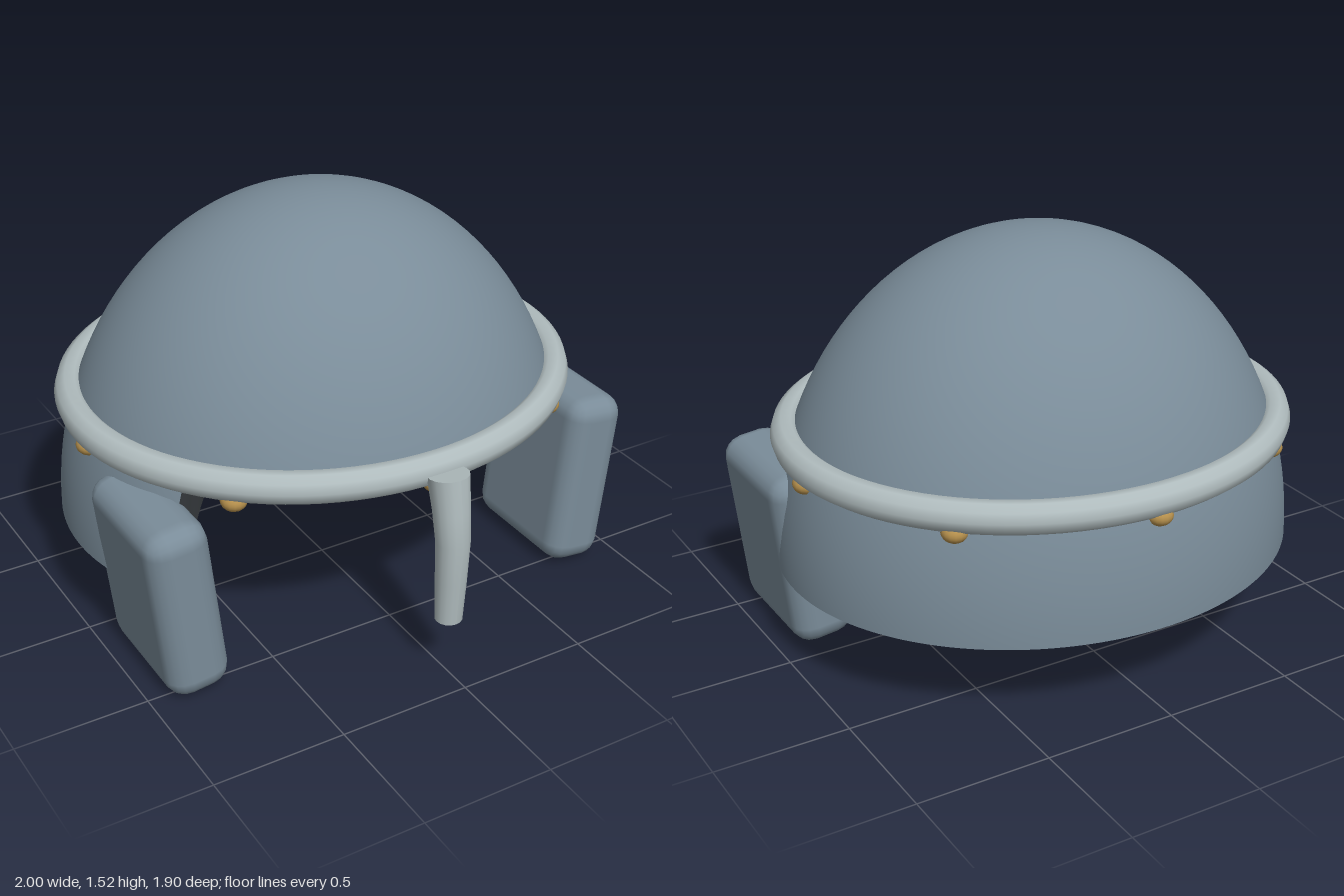
import * as THREE from 'three';
import { RoundedBoxGeometry } from 'three/addons/geometries/RoundedBoxGeometry.js';

const CZ = -0.06, BASE = 0.33; // centre and lower edge of the bowl
const COLS = 240, ROWS = 32;   // grid of the bowl
const OUTER = { k: 1, from: 0.99, to: 1.05 };     // size, and angles where the face opening ends
const INNER = { k: 0.945, from: 0.88, to: 1.05 };
const mat = (color, side = THREE.FrontSide) => new THREE.MeshStandardMaterial({ color, side });
const steel = mat(0x7a8c99);
const lining = mat(0x33373a, THREE.DoubleSide);
const pale = mat(0xb0bcbe);
const brass = mat(0xb8924e);

// Point on a bowl: a = angle from the front, v = 0 at the crown, 1 at the lower edge.
// The edge is high over the face and low around the back.
function bowlPoint(a, v, { k, from, to }) {
  const edge = 0.82 - (0.82 - BASE) * THREE.MathUtils.smoothstep(Math.abs(a), from, to);
  const t = Math.min(v * Math.PI / 2, Math.acos((edge - BASE) / (1.19 * k)));
  return new THREE.Vector3(
    0.99 * k * Math.sin(t) * Math.sin(a),
    BASE + 1.19 * k * Math.cos(t),
    CZ + 0.89 * k * Math.sin(t) * Math.cos(a));
}

const columnAngle = (col) => (col / COLS) * Math.PI * 2 - Math.PI;

// Half-sphere grid stretched into a bowl, its front rows stopped at the face opening
function bowl(layer) {
  const geo = new THREE.SphereGeometry(1, COLS, ROWS, 0, Math.PI * 2, 0, Math.PI / 2);
  const pos = geo.attributes.position, nor = geo.attributes.normal;
  for (let i = 0; i < pos.count; i++) {
    const col = i % (COLS + 1), row = Math.floor(i / (COLS + 1));
    const p = bowlPoint(columnAngle(col), row / ROWS, layer);
    pos.setXYZ(i, p.x, p.y, p.z);
    const n = new THREE.Vector3(p.x / 0.98, (p.y - BASE) / 1.416, (p.z - CZ) / 0.792).normalize();
    nor.setXYZ(i, n.x, n.y, n.z);
  }
  return geo;
}

// Strip closing the gap between bowl and lining along the edge
function rimStrip() {
  const verts = [], idx = [];
  for (let i = 0; i <= COLS; i++) {
    const a = columnAngle(i);
    verts.push(...bowlPoint(a, 1, OUTER).toArray(), ...bowlPoint(a, 1, INNER).toArray());
    if (i < COLS) idx.push(2 * i, 2 * i + 1, 2 * i + 2, 2 * i + 1, 2 * i + 3, 2 * i + 2);
  }
  const geo = new THREE.BufferGeometry();
  geo.setAttribute('position', new THREE.Float32BufferAttribute(verts, 3));
  geo.setIndex(idx);
  geo.computeVertexNormals();
  return geo;
}

// Tapered bar: a cylinder whose rings follow [y, z, radius] stations
function noseBar() {
  const stations = [[0.805, 0.845, 0.075], [0.68, 0.872, 0.068], [0.56, 0.888, 0.062], [0.4, 0.885, 0.057], [0.23, 0.88, 0.05]];
  const last = stations.length - 1;
  const geo = new THREE.CylinderGeometry(1, 1, last, 16, last);
  const pos = geo.attributes.position;
  for (let i = 0; i < pos.count; i++) {
    const s = Math.round(last / 2 - pos.getY(i));
    const [y, z, r] = stations[s];
    const x = pos.getX(i), d = pos.getZ(i);
    pos.setXYZ(i, x * r, y + (s === 0 ? d * r * 0.15 : 0), z + d * r);
  }
  geo.computeVertexNormals();
  return geo;
}

export function createModel() {
  const model = new THREE.Group();
  model.name = 'helmet';
  const add = (name, geo, material) => {
    const mesh = new THREE.Mesh(geo, material);
    mesh.name = name;
    model.add(mesh);
    return mesh;
  };

  // Bowl with neck guard, dark lining and edge
  add('bowl', bowl(OUTER), steel);
  add('lining', bowl(INNER), lining);
  add('bowlEdge', rimStrip(), lining);

  // Brow band
  const bandGeo = new THREE.TorusGeometry(0.925, 0.06, 10, 96);
  bandGeo.rotateX(Math.PI / 2);
  const band = add('browBand', bandGeo, pale);
  band.scale.z = 0.905;
  band.position.set(0, 0.8, CZ);

  // Nose guard
  add('noseGuard', noseBar(), pale);

  // Cheek plates, leaning outward at the top
  for (const s of [1, -1]) {
    const plate = add(s > 0 ? 'leftCheekPlate' : 'rightCheekPlate',
      new RoundedBoxGeometry(0.24, 0.7, 0.54, 2, 0.08), steel);
    plate.position.set(0.848 * s, 0.352, 0.317);
    plate.rotation.z = -0.113 * s;
  }

  // Rivets under the brow band
  const rivetGeo = new THREE.SphereGeometry(0.048, 16, 12);
  for (let i = 0; i < 8; i++) {
    const a = (i * Math.PI) / 4;
    const rivet = add('rivet' + (i + 1), rivetGeo, brass);
    rivet.position.set(0.925 * Math.sin(a), 0.737, CZ + 0.83 * Math.cos(a));
    rivet.scale.y = 0.8;
  }
  return model;
}
